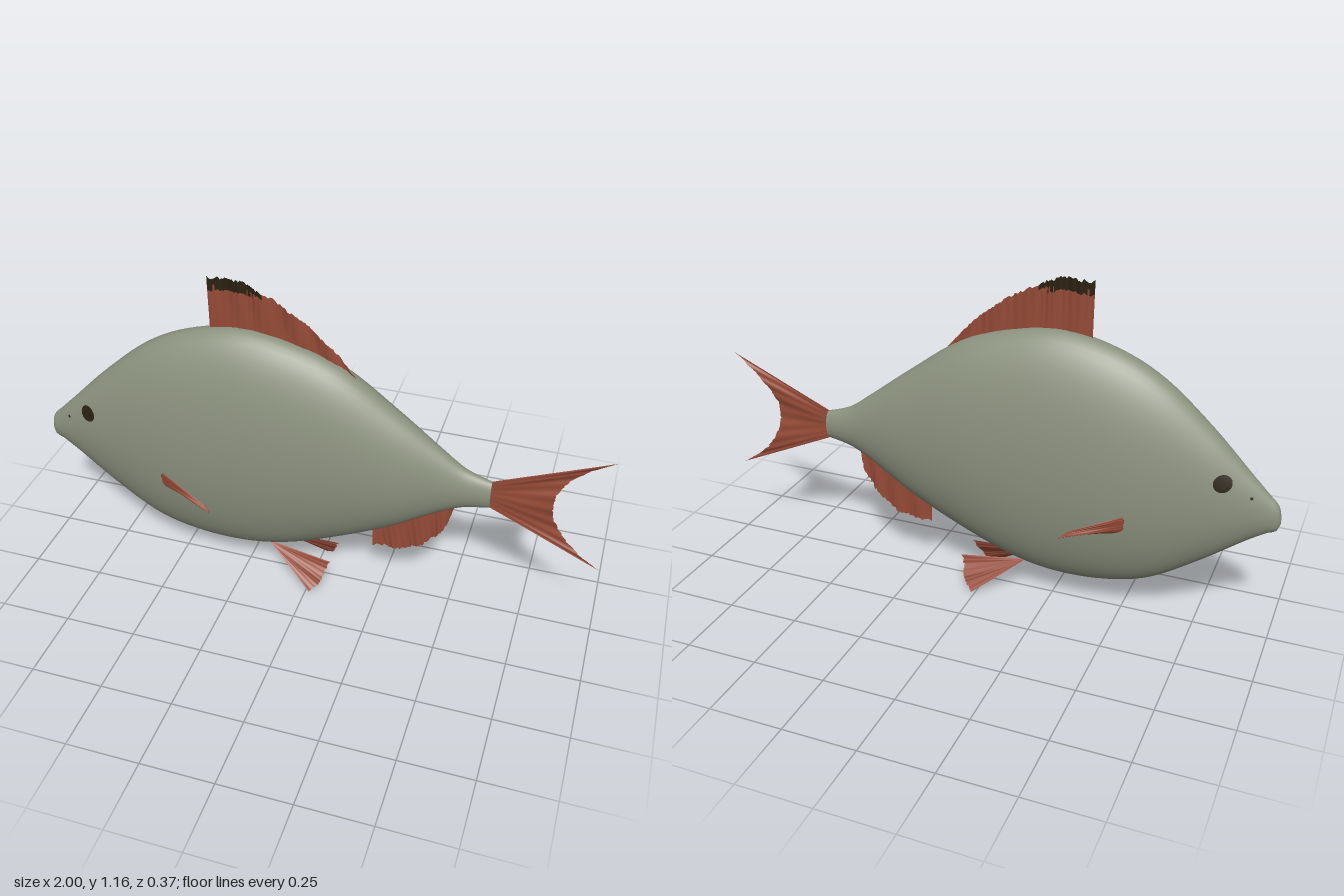
import * as THREE from 'three';

const flat = (name, color, side = THREE.FrontSide) => {
  const m = new THREE.MeshStandardMaterial({ color, side });
  m.name = name;
  return m;
};

// Body stations: x, back height, belly height, half width
const STATIONS = [
  [-1, 0.465, 0.435, 0.006], [-0.99, 0.498, 0.412, 0.018], [-0.96, 0.53, 0.397, 0.028],
  [-0.9, 0.59, 0.358, 0.046], [-0.765, 0.727, 0.258, 0.083], [-0.6, 0.868, 0.153, 0.118],
  [-0.45, 0.945, 0.11, 0.137], [-0.27, 0.985, 0.1, 0.143], [-0.1, 0.966, 0.13, 0.14],
  [0.09, 0.9, 0.205, 0.126], [0.28, 0.767, 0.298, 0.095], [0.44, 0.645, 0.396, 0.055],
  [0.52, 0.588, 0.435, 0.037], [0.61, 0.556, 0.453, 0.024],
];

// Smooth (Hermite) back, belly and width at any x
function section(x) {
  const S = STATIONS, last = S.length - 1;
  let i = 0;
  while (i < last - 1 && x > S[i + 1][0]) i++;
  const d = S[i + 1][0] - S[i][0], t = (x - S[i][0]) / d;
  const slope = (k, c) => {
    const a = S[Math.max(k - 1, 0)], b = S[Math.min(k + 1, last)];
    return (b[c] - a[c]) / (b[0] - a[0]);
  };
  const [top, bottom, width] = [1, 2, 3].map((c) =>
    (2 * t ** 3 - 3 * t * t + 1) * S[i][c] + (t ** 3 - 2 * t * t + t) * d * slope(i, c) +
    (3 * t * t - 2 * t ** 3) * S[i + 1][c] + (t ** 3 - t * t) * d * slope(i + 1, c));
  return { mid: (top + bottom) / 2, half: (top - bottom) / 2, width };
}

// Half width of the body's skin at a point of its side
function skinZ(x, y) {
  const s = section(x);
  return s.width * Math.sqrt(Math.max(0, 1 - ((y - s.mid) / s.half) ** 2));
}

function build(pos, index) {
  const g = new THREE.BufferGeometry();
  g.setAttribute('position', new THREE.Float32BufferAttribute(pos, 3));
  g.setIndex(index);
  g.computeVertexNormals();
  return g;
}

function bodyGeometry() {
  const xs = [STATIONS[0][0]], pos = [], index = [], N = 56, SUB = 5;
  for (let i = 1; i < STATIONS.length; i++)
    for (let k = 1; k <= SUB; k++)
      xs.push(THREE.MathUtils.lerp(STATIONS[i - 1][0], STATIONS[i][0], k / SUB));
  xs.forEach((x, i) => {
    const s = section(x);
    for (let j = 0; j < N; j++) {
      const a = (j / N) * Math.PI * 2;
      pos.push(x, s.mid + s.half * Math.cos(a), s.width * Math.sin(a));
      if (i === xs.length - 1) continue;
      const p = i * N + j, q = i * N + (j + 1) % N;
      index.push(p, q, p + N, q, q + N, p + N);
    }
  });
  // snout tip
  const tip = pos.length / 3;
  pos.push(-1, section(-1).mid, 0);
  for (let j = 0; j < N; j++) index.push(tip, (j + 1) % N, j);
  return build(pos, index);
}

const noise = (i) => {
  const v = Math.sin(i * 12.9898 + 4.1) * 43758.5453;
  return v - Math.floor(v);
};

// Rippled membrane from a root line to a ragged outer line; isDark picks second-material faces
function finGeometry(root, edge, { ripple = 0.007, waves = 5, jag = 0.06, n = 64, side = 1, isDark } = {}) {
  const curve = (pts) => new THREE.CatmullRomCurve3(
    pts.map(([x, y, z = 0]) => new THREE.Vector3(x, y, z * side)), false, 'centripetal');
  const a = curve(root), b = curve(edge), M = 10, pos = [], plain = [], dark = [];
  for (let i = 0; i <= n; i++) {
    const u = i / n, p = a.getPoint(u), q = b.getPoint(u);
    const reach = i === 0 || i === n ? 1 : 1 - jag * noise(i);
    for (let j = 0; j <= M; j++) {
      const v = j / M, c = p.clone().lerp(q, v * reach);
      const wave = Math.sin(u * waves * Math.PI * 2 + v * 2) + 0.35 * Math.sin(u * waves * 8 * Math.PI);
      pos.push(c.x, c.y, c.z + side * ripple * v * wave / 1.35);
      if (i === n || j === M) continue;
      const k = i * (M + 1) + j;
      (isDark && isDark(c.x, c.y, i) ? dark : plain).push(k, k + 1, k + M + 1, k + 1, k + M + 2, k + M + 1);
    }
  }
  const g = build(pos, [...plain, ...dark]);
  g.addGroup(0, plain.length, 0);
  g.addGroup(plain.length, dark.length, 1);
  return g;
}

export function createModel() {
  const model = new THREE.Group();
  model.name = 'fish';
  const skin = flat('greyGreenSkin', 0x8c927f);
  const red = flat('rustFin', 0x954a36, THREE.DoubleSide);
  const black = flat('darkBrown', 0x2a2110, THREE.DoubleSide);
  const add = (name, geometry, material) => {
    const mesh = new THREE.Mesh(geometry, material);
    mesh.name = name;
    model.add(mesh);
  };
  const fin = (name, root, edge, options) => add(name, finGeometry(root, edge, options), [red, black]);

  // Body and its blunt rear end
  add('body', bodyGeometry(), skin);
  const end = section(0.61);
  add('tailStump', new THREE.CircleGeometry(1, 40).scale(end.width, end.half, 1)
    .rotateY(Math.PI / 2).translate(0.61, end.mid, 0), skin);

  // Fins on the centre line
  fin('dorsalFin',
    [[-0.36, 0.93], [-0.26, 0.95], [-0.187, 0.945], [-0.07, 0.93], [0.037, 0.89], [0.14, 0.85]],
    [[-0.36, 1.16], [-0.257, 1.163], [-0.187, 1.135], [-0.07, 1.07], [0.037, 0.985], [0.14, 0.872]],
    { n: 90, isDark: (x, y, i) => x < -0.17 && y > 1.1 + 0.015 * noise(i + 200) });
  fin('tailFin',
    [[0.6, 0.555], [0.6, 0.54], [0.6, 0.52], [0.6, 0.505], [0.6, 0.49], [0.6, 0.47], [0.6, 0.455]],
    [[0.99, 0.722], [0.895, 0.65], [0.835, 0.58], [0.818, 0.505], [0.835, 0.43], [0.895, 0.35], [0.995, 0.277]],
    { waves: 2, jag: 0.035 });
  fin('analFin',
    [[0.21, 0.3], [0.26, 0.32], [0.33, 0.355], [0.4, 0.4], [0.46, 0.43], [0.5, 0.45]],
    [[0.215, 0.185], [0.29, 0.187], [0.36, 0.207], [0.42, 0.255], [0.465, 0.32], [0.492, 0.42]],
    { waves: 4, jag: 0.08 });

  // Paired fins, eyes and nostrils
  for (const [side, label] of [[1, 'left'], [-1, 'right']]) {
    fin(label + 'PelvicFin',
      [[-0.16, 0.132, 0.03], [-0.155, 0.129, 0.034], [-0.15, 0.126, 0.038], [-0.145, 0.122, 0.042]],
      [[0.075, 0.11, 0.05], [0.06, 0.065, 0.075], [0.045, 0.03, 0.097], [0.014, 0.003, 0.113]],
      { side, ripple: 0.005, waves: 2, n: 30, jag: 0.03 });
    fin(label + 'PectoralFin',
      [[-0.55, 0.437, 0.118], [-0.55, 0.415, 0.117], [-0.55, 0.39, 0.114], [-0.55, 0.365, 0.108]],
      [[-0.36, 0.362, 0.162], [-0.335, 0.345, 0.177], [-0.325, 0.335, 0.178], [-0.35, 0.338, 0.155]],
      { side, ripple: 0.006, waves: 1.5, n: 30, jag: 0.03 });
    for (const [name, x, y, r] of [['Eye', -0.818, 0.575, 0.029], ['Nostril', -0.908, 0.53, 0.005]]) {
      const g = new THREE.RingGeometry(0, r, 28, 5).translate(x, y, 0), p = g.attributes.position;
      for (let i = 0; i < p.count; i++) p.setZ(i, side * (skinZ(p.getX(i), p.getY(i)) + 0.004));
      g.computeVertexNormals();
      add(label + name, g, black);
    }
  }
  return model;
}
